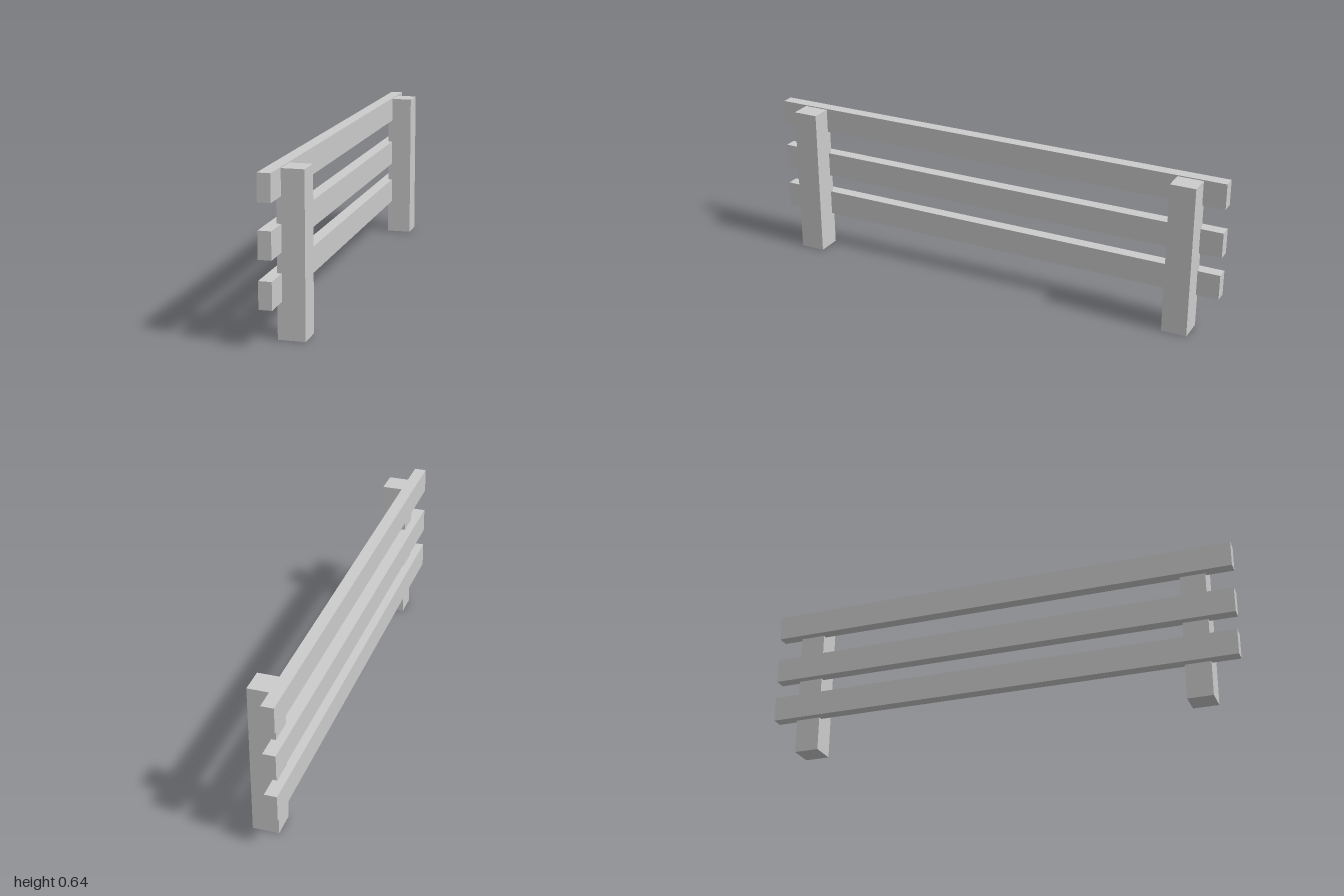
import * as THREE from 'three';

export function createModel() {
  const model = new THREE.Group();
  model.name = 'fence';
  const material = new THREE.MeshStandardMaterial({ color: 0xcccccc, flatShading: true });

  // The whole panel runs along its own z axis, then is turned slightly
  const panel = new THREE.Group();
  panel.name = 'fencePanel';
  panel.position.x = -0.0335;
  panel.rotation.y = 0.185;
  model.add(panel);

  const addBoard = (name, size, position) => {
    const mesh = new THREE.Mesh(new THREE.BoxGeometry(...size), material);
    mesh.name = name;
    mesh.position.set(...position);
    panel.add(mesh);
  };

  // Three horizontal rails
  const rails = { lowerRail: 0.1985, middleRail: 0.382, upperRail: 0.589 };
  for (const [name, y] of Object.entries(rails)) {
    addBoard(name, [0.051, 0.106, 2.025], [0, y, 0]);
  }

  // Two posts, notched partway into the rails
  const posts = { frontPost: 0.844, backPost: -0.866 };
  for (const [name, z] of Object.entries(posts)) {
    addBoard(name, [0.106, 0.638, 0.106], [0.0605, 0.319, z]);
  }

  return model;
}
